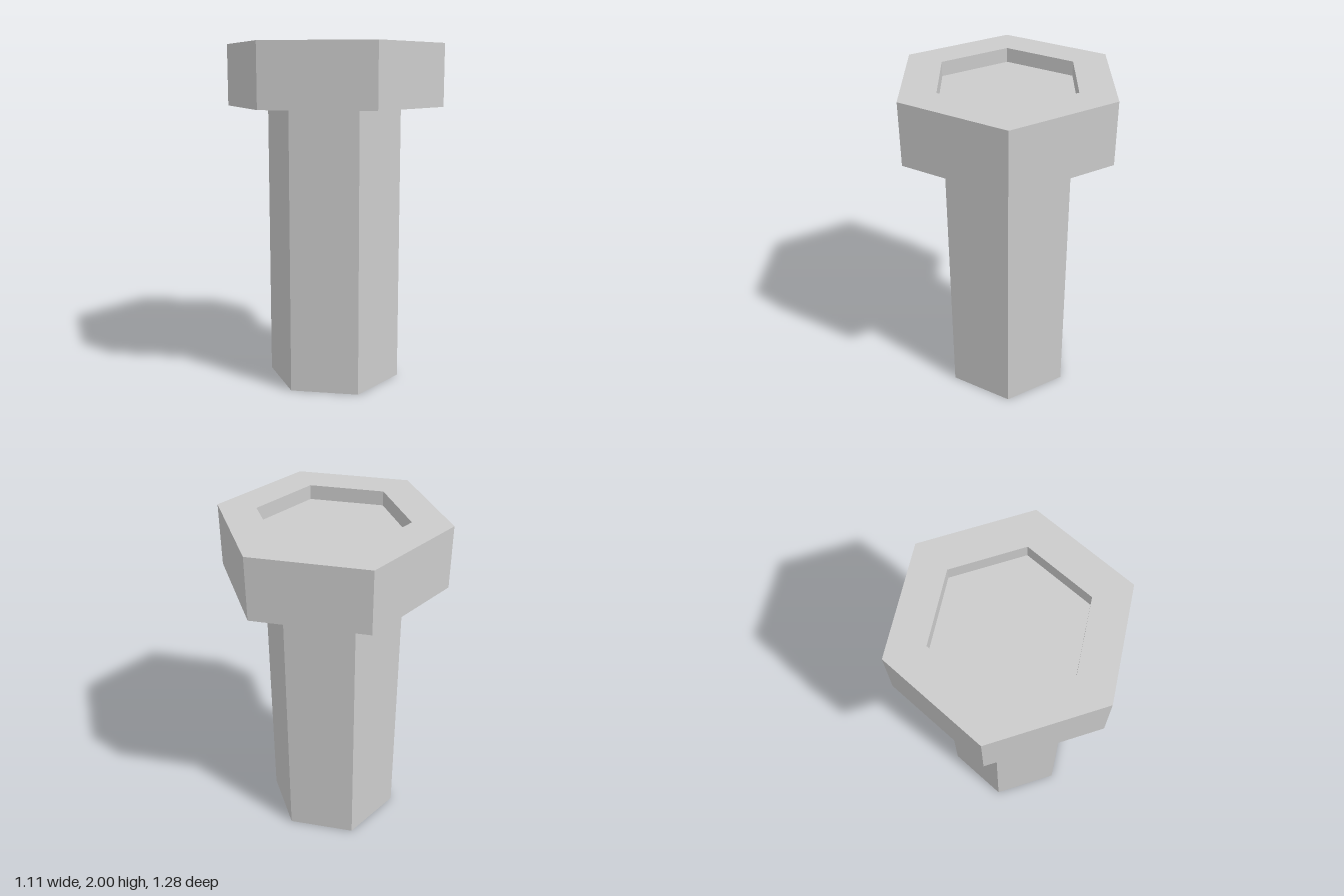
import * as THREE from 'three';

const SHANK_R = 0.395, HEAD_R = 0.64, SOCKET_R = 0.42;
const HEAD_BASE = 1.64, TOP = 2, SOCKET_FLOOR = 1.917;

export function createModel() {
  const group = new THREE.Group();
  group.name = 'hexBolt';
  const material = new THREE.MeshStandardMaterial({ color: 0xcccccc, flatShading: true });

  // Six-sided revolve of a [radius, height] profile, corners on the z axis
  const addHex = (name, profile) => {
    const points = profile.map(([r, y]) => new THREE.Vector2(r, y));
    const mesh = new THREE.Mesh(new THREE.LatheGeometry(points, 6), material);
    mesh.name = name;
    group.add(mesh);
  };

  // Shank, closed at the bottom and running up into the head
  addHex('shank', [[0, 0], [SHANK_R, 0], [SHANK_R, HEAD_BASE]]);

  // Head: underside, outer wall, rim, then the shallow socket wall and floor
  addHex('head', [
    [SHANK_R, HEAD_BASE], [HEAD_R, HEAD_BASE], [HEAD_R, TOP],
    [SOCKET_R, TOP], [SOCKET_R, SOCKET_FLOOR], [0, SOCKET_FLOOR],
  ]);

  return group;
}
